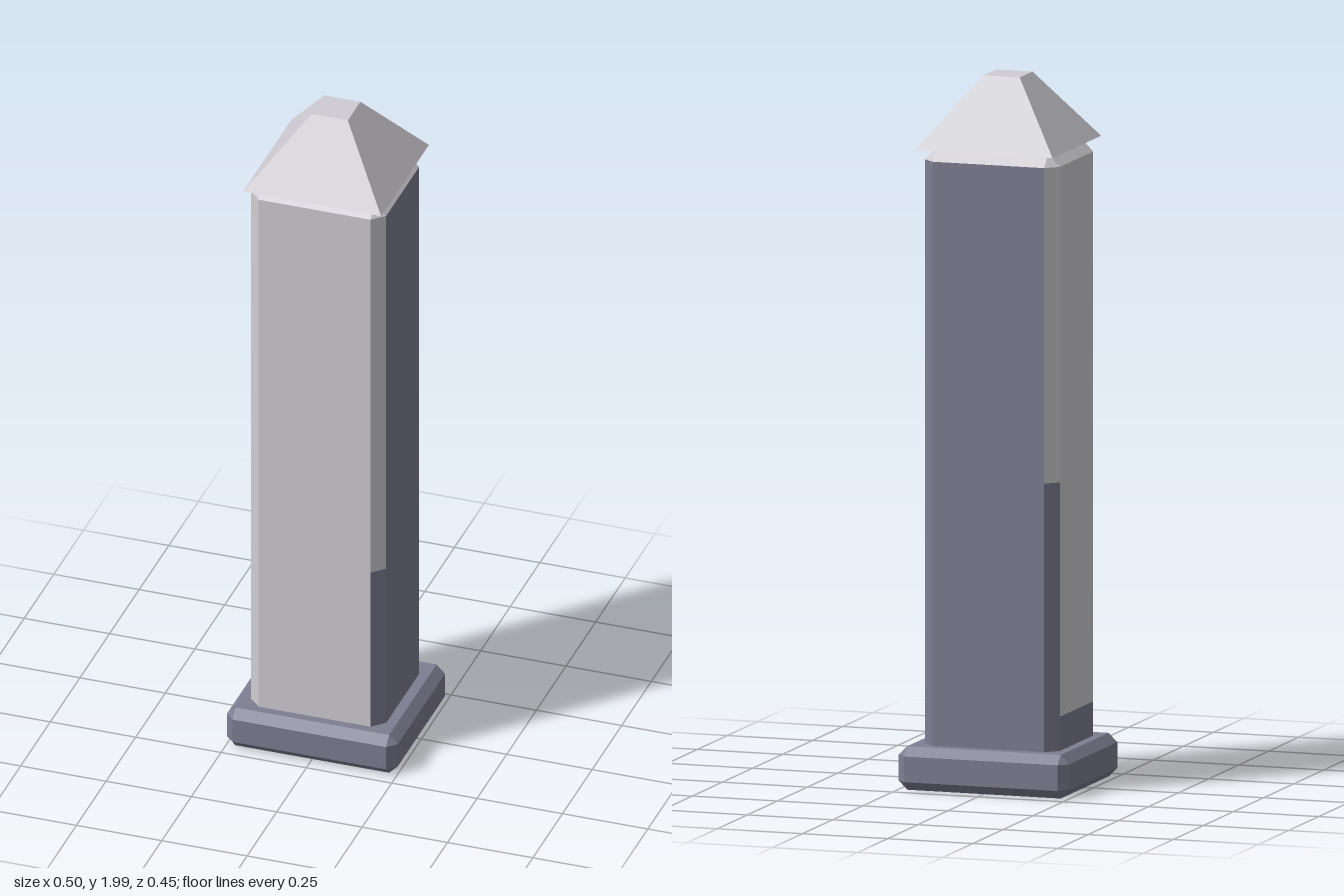
import * as THREE from 'three';

const paleStone = new THREE.MeshStandardMaterial({ color: 0xcfcdd3 });
const slateStone = new THREE.MeshStandardMaterial({ color: 0x7d7f92 });

// Eight-point outline of a rectangle with cut corners; side 0 is the front, then round by +x
function ring(x0, x1, z0, z1, cut, y) {
  return [
    [x0 + cut, z1], [x1 - cut, z1], [x1, z1 - cut], [x1, z0 + cut],
    [x1 - cut, z0], [x0 + cut, z0], [x0, z0 + cut], [x0, z1 - cut],
  ].map(([x, z]) => new THREE.Vector3(x, y, z));
}

// Flat-faced mesh from polygons, each split into a fan, skipping collapsed triangles
function facetMesh(name, polygons, material) {
  const points = [];
  for (const p of polygons) {
    for (let i = 1; i < p.length - 1; i++) {
      const tri = new THREE.Triangle(p[0], p[i], p[i + 1]);
      if (tri.getArea() > 1e-7) points.push(tri.a, tri.b, tri.c);
    }
  }
  const geometry = new THREE.BufferGeometry().setFromPoints(points);
  geometry.computeVertexNormals();
  const mesh = new THREE.Mesh(geometry, material);
  mesh.name = name;
  return mesh;
}

const wall = (low, high, i) => {
  const j = (i + 1) % 8;
  return [low[i], low[j], high[j], high[i]];
};

// Closed solid through a stack of rings
function loft(name, rings, material) {
  const polygons = [[...rings[0]].reverse(), rings[rings.length - 1]];
  for (let k = 0; k < rings.length - 1; k++) {
    for (let i = 0; i < 8; i++) polygons.push(wall(rings[k], rings[k + 1], i));
  }
  return facetMesh(name, polygons, material);
}

export function createModel() {
  const group = new THREE.Group();
  group.name = 'stonePost';

  // Bevelled plinth
  const b = 0.025;
  group.add(loft('plinth', [
    ring(-0.225, 0.225, -0.2, 0.2, 0, 0.01),
    ring(-0.25, 0.25, -0.225, 0.225, b, 0.01 + b),
    ring(-0.25, 0.25, -0.225, 0.225, b, 0.107),
    ring(-0.225, 0.225, -0.2, 0.2, 0, 0.132),
  ], slateStone));

  // Shaft: each side is slate up to its own height and pale above it
  const cut = 0.034, foot = 0.12, shoulder = 1.77, eaves = 1.805;
  const slateTop = [foot, 0.63, shoulder, shoulder, shoulder, 0.885, 0.228, foot];
  const outline = (y) => ring(-0.2, 0.196, -0.17, 0.175, cut, y);
  const slate = [], pale = [];
  slateTop.forEach((y, i) => {
    slate.push(wall(outline(foot), outline(y), i));
    pale.push(wall(outline(y), outline(shoulder), i));
  });
  group.add(facetMesh('shaftSlateSides', slate, slateStone));
  group.add(facetMesh('shaftPaleSides', pale, paleStone));

  // Bevel between the shaft and the cap
  const neck = ring(-0.2 + cut, 0.196 - cut, -0.17 + cut, 0.175 - cut, 0, eaves);
  group.add(facetMesh('shaftTopBevel',
    slateTop.map((_, i) => wall(outline(shoulder), neck, i)), paleStone));

  // Truncated pyramid cap
  group.add(loft('cap', [
    ring(-0.202, 0.202, -0.202, 0.202, 0, eaves),
    ring(-0.053, 0.053, -0.053, 0.053, 0, 2),
  ], paleStone));

  return group;
}
